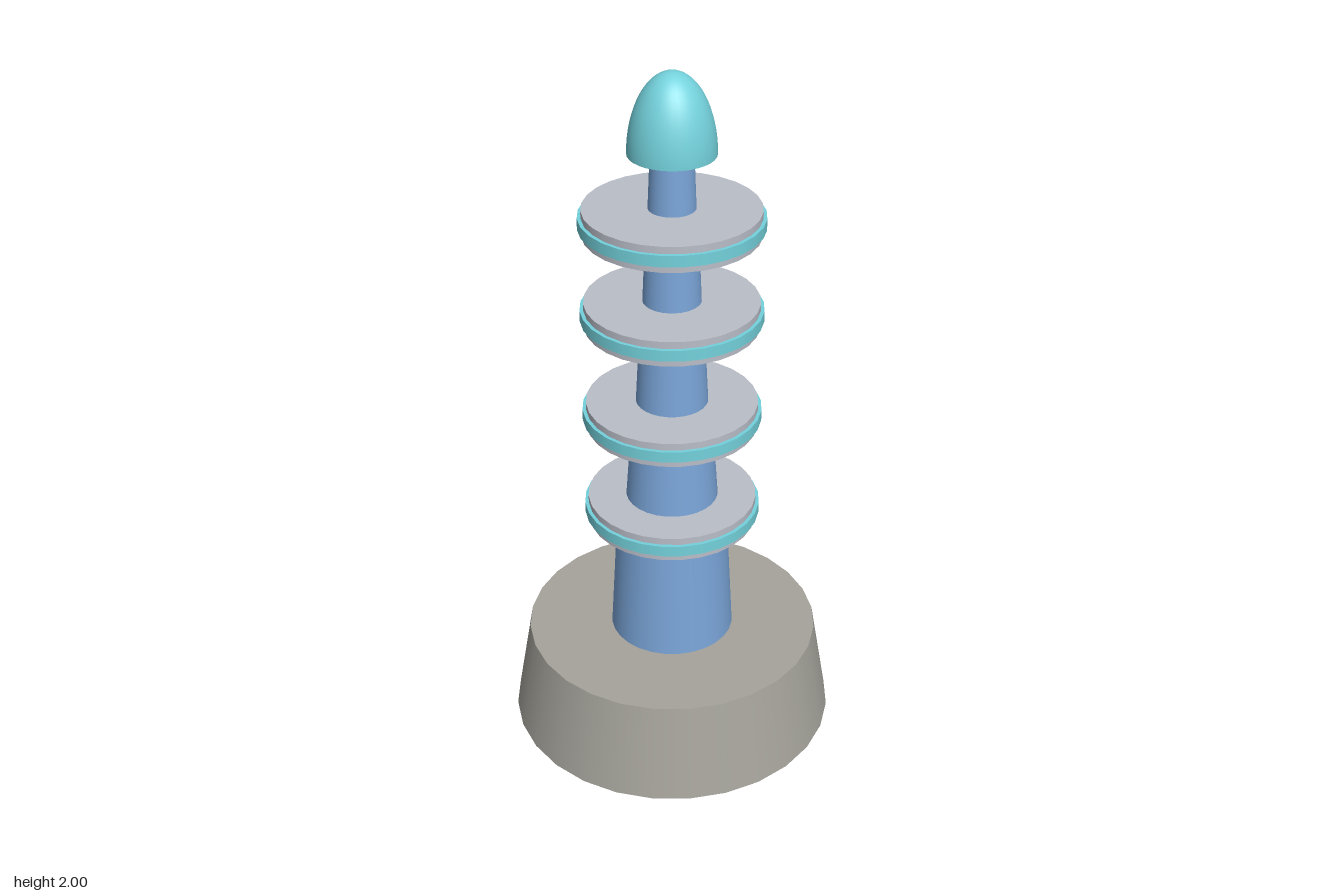
import * as THREE from 'three';

const SIDES = 28;

const mat = (name, color, side = THREE.FrontSide) => {
  const m = new THREE.MeshStandardMaterial({ color, side });
  m.name = name;
  return m;
};

export function createModel() {
  const stone = mat('warm grey', 0xa5a39b);
  const blue = mat('steel blue', 0x7aa5d8);
  const pale = mat('pale grey', 0xbabec8);
  const teal = mat('teal', 0x74d2dc, THREE.DoubleSide);

  const model = new THREE.Group();
  model.name = 'ringedTower';

  // Tapered drum between two heights
  const drum = (name, parent, material, rBottom, rTop, y0, y1) => {
    const mesh = new THREE.Mesh(new THREE.CylinderGeometry(rTop, rBottom, y1 - y0, SIDES), material);
    mesh.name = name;
    mesh.position.y = (y0 + y1) / 2;
    parent.add(mesh);
  };

  drum('base', model, stone, 0.475, 0.425, 0, 0.29);

  // Ring plates: a pale disc with a slightly wider teal band
  const plateHeights = [0.706, 1.014, 1.323, 1.593];
  plateHeights.forEach((y, i) => {
    const plate = new THREE.Group();
    plate.name = `ringPlate${i + 1}`;
    plate.position.y = y;
    drum('disc', plate, pale, 0.24, 0.24, -0.036, 0.036);
    drum('band', plate, teal, 0.25, 0.25, -0.016, 0.016);
    model.add(plate);
  });

  // Shaft sections, each stepping in above a plate
  const radii = [[0.18, 0.157], [0.134, 0.112], [0.103, 0.087], [0.082, 0.07], [0.066, 0.058]];
  const levels = [0.29, ...plateHeights, 1.785];
  radii.forEach(([rBottom, rTop], i) =>
    drum(`shaft${i + 1}`, model, blue, rBottom, rTop, levels[i], levels[i + 1]));

  // Open, stretched dome on top
  const dome = new THREE.Mesh(
    new THREE.SphereGeometry(0.118, 32, 16, 0, Math.PI * 2, 0, Math.PI / 2), teal);
  dome.name = 'domeCap';
  dome.scale.y = 0.22 / 0.118;
  dome.position.y = 1.78;
  model.add(dome);

  return model;
}
